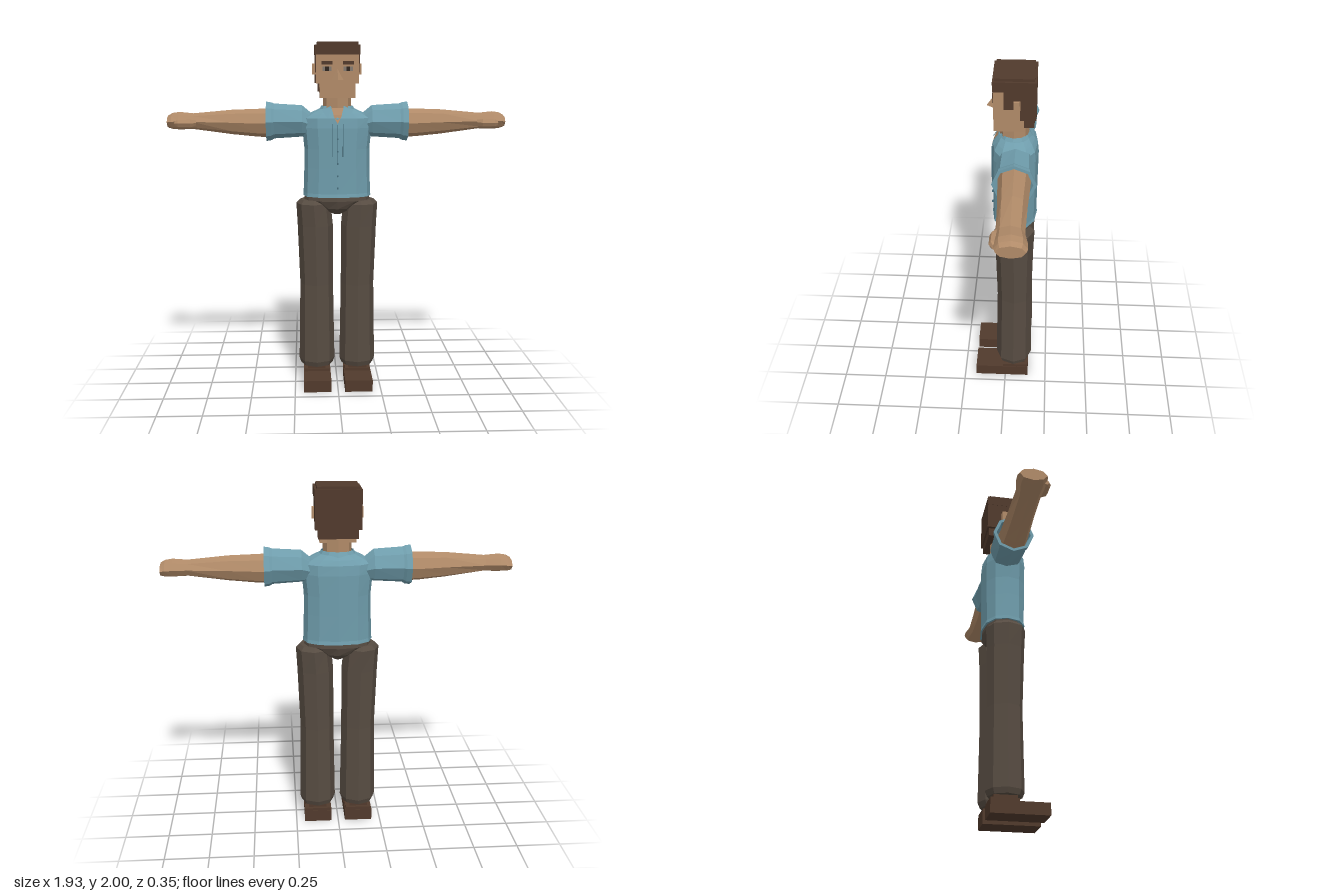
import * as THREE from 'three';
import { ConvexGeometry } from 'three/addons/geometries/ConvexGeometry.js';

const paint = (name, color, side = THREE.FrontSide) => {
  const m = new THREE.MeshStandardMaterial({ color, side });
  m.name = name;
  return m;
};

// Stacks flat-shaded rings [height, centreX, centreZ, radiusX, radiusZ] along y.
function loft(rings, { sides = 8, power = 2, capStart = true, capEnd = true } = {}) {
  const pos = [], index = [];
  const bulge = v => Math.sign(v) * Math.abs(v) ** (2 / power);
  for (const [y, cx, cz, rx, rz] of rings) {
    for (let j = 0; j < sides; j++) {
      const a = (j / sides) * Math.PI * 2;
      pos.push(cx + rx * bulge(Math.sin(a)), y, cz + rz * bulge(Math.cos(a)));
    }
  }
  for (let i = 0; i < rings.length - 1; i++) {
    for (let j = 0; j < sides; j++) {
      const k = (j + 1) % sides, lo = i * sides, hi = lo + sides;
      index.push(lo + j, lo + k, hi + k, lo + j, hi + k, hi + j);
    }
  }
  const last = (rings.length - 1) * sides;
  for (let j = 1; j < sides - 1; j++) {
    if (capStart) index.push(0, j + 1, j);
    if (capEnd) index.push(last, last + j, last + j + 1);
  }
  return flat(pos, index);
}

function flat(pos, index) {
  const g = new THREE.BufferGeometry();
  g.setAttribute('position', new THREE.Float32BufferAttribute(pos, 3));
  g.setIndex(index);
  const out = g.toNonIndexed();
  out.computeVertexNormals();
  return out;
}

export function createModel() {
  const model = new THREE.Group();
  model.name = 'standingMan';

  const skin = paint('skin', 0xb08a68);
  const shirt = paint('shirtBlue', 0x6f9dac);
  const cloth = paint('collarBlue', 0x6f9dac, THREE.DoubleSide);
  const seam = paint('seamBlue', 0x456a78);
  const trousers = paint('trouserBrown', 0x574c42);
  const brown = paint('hairAndShoeBrown', 0x513a2c);
  const eyeGrey = paint('eyeGrey', 0x82786f);
  const pupil = paint('pupilDark', 0x2e241e);

  const add = (name, geometry, material) => {
    const mesh = new THREE.Mesh(geometry, material);
    mesh.name = name;
    model.add(mesh);
    return mesh;
  };
  const box = (name, material, x0, x1, y0, y1, z0, z1) => {
    const g = new THREE.BoxGeometry(Math.abs(x1 - x0), y1 - y0, z1 - z0);
    g.translate((x0 + x1) / 2, (y0 + y1) / 2, (z0 + z1) / 2);
    return add(name, g, material);
  };

  // Shirt body with a slight flare at the hem and sloping shoulders
  add('shirtBody', loft([
    [1.125, 0, -0.047, 0.196, 0.126], [1.145, 0, -0.047, 0.194, 0.122],
    [1.29, 0, -0.047, 0.189, 0.124], [1.40, 0, -0.047, 0.188, 0.126],
    [1.52, 0, -0.047, 0.2, 0.128], [1.575, 0, -0.047, 0.2, 0.122],
    [1.602, 0, -0.047, 0.155, 0.105], [1.625, 0, -0.045, 0.105, 0.085],
  ], { sides: 12, power: 2.4 }), shirt);

  // Open neckline, collar band and collar points
  add('openNeckline', flat([
    0, 1.545, 0.084, 0.026, 1.595, 0.066, 0.036, 1.632, 0.045,
    -0.036, 1.632, 0.045, -0.026, 1.595, 0.066,
  ], [0, 1, 4, 4, 1, 2, 4, 2, 3]), skin);
  const band = new THREE.CylinderGeometry(0.09, 0.113, 0.035, 10, 1, true, 0.4, Math.PI * 2 - 0.8).toNonIndexed();
  band.scale(1, 1, 0.88).translate(0, 1.625, -0.045);
  band.computeVertexNormals();
  add('collarBand', band, cloth);
  for (const s of [1, -1]) {
    add('collarPoint', flat([
      s * 0.035, 1.638, 0.042, s * 0.09, 1.622, 0.035,
      s * 0.055, 1.575, 0.078, s * 0.022, 1.592, 0.072,
    ], [0, 3, 2, 0, 2, 1]), cloth);
    box('placketSeam', seam, s * 0.03 - 0.0015, s * 0.03 + 0.0015, 1.36, 1.545, 0.074, 0.081);
  }
  box('frontSeam', seam, -0.0015, 0.0015, 1.32, 1.54, 0.077, 0.084);
  for (const y of [1.18, 1.25, 1.32, 1.39, 1.46]) box('button', seam, -0.005, 0.005, y - 0.005, y + 0.005, 0.074, 0.083);

  // Hips
  add('hips', loft([
    [1.02, 0, -0.05, 0.03, 0.06], [1.055, 0, -0.05, 0.1, 0.1],
    [1.1, 0, -0.05, 0.19, 0.115], [1.14, 0, -0.05, 0.185, 0.112],
  ], { sides: 12, power: 2.2 }), trousers);

  for (const s of [1, -1]) {
    const side = s > 0 ? 'left' : 'right';
    // Limbs along x are lofted along y and laid on their side
    const sideways = (rings, opts) =>
      loft(rings.map(([x, cy, cz, ry, rz]) => [x, -s * cy, cz, ry, rz]), opts).rotateZ(-s * Math.PI / 2);

    // Short sleeve with a hollow cuff
    add(side + 'Sleeve', sideways([
      [0.14, 1.535, -0.055, 0.06, 0.07], [0.2, 1.555, -0.055, 0.09, 0.1],
      [0.36, 1.555, -0.055, 0.1, 0.104], [0.375, 1.553, -0.055, 0.108, 0.112],
      [0.405, 1.553, -0.055, 0.113, 0.116], [0.405, 1.553, -0.055, 0.096, 0.098],
      [0.34, 1.553, -0.055, 0.085, 0.088],
    ], { capEnd: false }), shirt);

    // Bare arm and flat hand
    add(side + 'Arm', sideways([
      [0.3, 1.545, -0.055, 0.085, 0.088], [0.45, 1.545, -0.055, 0.08, 0.082],
      [0.6, 1.55, -0.055, 0.07, 0.075], [0.82, 1.555, -0.055, 0.045, 0.07],
      [0.9, 1.558, -0.06, 0.05, 0.08], [0.94, 1.556, -0.062, 0.046, 0.08],
      [0.965, 1.553, -0.062, 0.035, 0.072],
    ]), skin);
    add(side + 'Thumb', sideways([
      [0.8, 1.55, 0.005, 0.016, 0.015], [0.83, 1.547, 0.02, 0.024, 0.022],
      [0.9, 1.547, 0.022, 0.022, 0.02], [0.92, 1.547, 0.015, 0.014, 0.014],
    ], { sides: 6 }), skin);

    // Trouser leg
    add(side + 'TrouserLeg', loft([
      [0.105, s * 0.12, -0.05, 0.094, 0.095], [0.135, s * 0.12, -0.05, 0.105, 0.107],
      [0.6, s * 0.12, -0.052, 0.097, 0.1], [0.95, s * 0.127, -0.05, 0.103, 0.108],
      [1.08, s * 0.137, -0.05, 0.1, 0.113], [1.102, s * 0.135, -0.05, 0.082, 0.09],
    ]), trousers);

    // Shoe
    box(side + 'Ankle', brown, s * 0.07, s * 0.175, 0.07, 0.13, -0.12, 0.01);
    box(side + 'ShoeHeel', brown, s * 0.044, s * 0.196, 0.06, 0.085, -0.138, 0.015);
    box(side + 'Shoe', brown, s * 0.04, s * 0.2, 0, 0.068, -0.14, 0.18);
  }

  // Neck and head
  add('neck', loft([
    [1.58, 0, -0.043, 0.08, 0.08], [1.72, 0, -0.043, 0.08, 0.08],
  ], { power: 2.4 }), skin);
  box('jaw', skin, -0.1, 0.1, 1.69, 1.78, -0.1, 0.064);
  box('face', skin, -0.12, 0.12, 1.77, 1.94, -0.12, 0.065);
  add('nose', new ConvexGeometry([
    new THREE.Vector3(0, 1.852, 0.064), new THREE.Vector3(-0.033, 1.79, 0.064),
    new THREE.Vector3(0.033, 1.79, 0.064), new THREE.Vector3(0, 1.79, 0.107),
  ]), skin);

  // Stepped hair
  box('hairTop', brown, -0.115, 0.115, 1.98, 2, -0.148, 0.058);
  box('hairCrown', brown, -0.128, 0.128, 1.93, 1.985, -0.16, 0.07);
  box('hairBack', brown, -0.127, 0.127, 1.77, 1.94, -0.16, -0.075);
  box('hairNape', brown, -0.11, 0.11, 1.72, 1.78, -0.15, -0.095);

  for (const s of [1, -1]) {
    box('hairSide', brown, s * 0.11, s * 0.127, 1.88, 1.94, -0.08, 0.01);
    box('sideburn', brown, s * 0.11, s * 0.126, 1.83, 1.89, -0.04, 0.01);
    box('ear', skin, s * 0.11, s * 0.141, 1.82, 1.88, -0.072, -0.04);
    box('eyebrow', brown, s * 0.03, s * 0.09, 1.875, 1.894, 0.064, 0.072);
    box('eye', eyeGrey, s * 0.033, s * 0.085, 1.838, 1.864, 0.064, 0.068);
    box('pupil', pupil, s * 0.048, s * 0.07, 1.838, 1.864, 0.064, 0.07);
  }
  return model;
}
